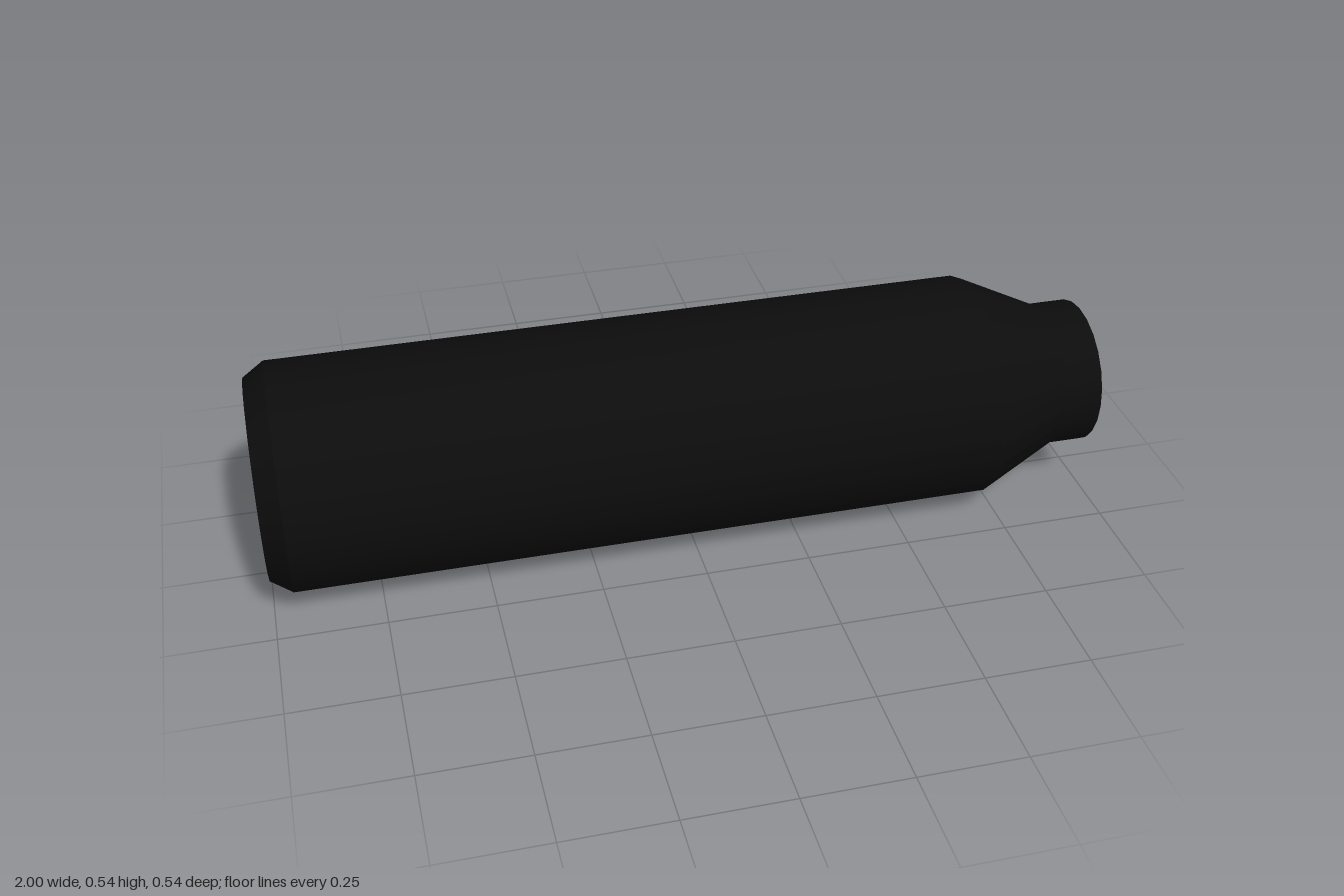
import * as THREE from 'three';
import { toCreasedNormals } from 'three/addons/utils/BufferGeometryUtils.js';

const RADIUS = 0.268;
const SIDES = 24;

export function createModel() {
  const model = new THREE.Group();
  model.name = 'tube';
  const material = new THREE.MeshStandardMaterial({ color: 0x0c0c0c });

  // Turn a closed [radius, x] profile around the long axis
  function turned(name, profile) {
    const points = profile.map(([r, x]) => new THREE.Vector2(r, x));
    points.push(points[0].clone());
    const geometry = new THREE.LatheGeometry(points, SIDES).rotateZ(-Math.PI / 2);
    const mesh = new THREE.Mesh(toCreasedNormals(geometry, 0.5), material);
    mesh.name = name;
    mesh.position.y = RADIUS + 0.002;
    model.add(mesh);
  }

  turned('body', [
    // chamfered rear rim, long barrel, tapered shoulder and neck
    [0.235, -1], [RADIUS, -0.95], [RADIUS, 0.71], [0.175, 0.905], [0.175, 1],
    // bore running back through to the recess in the rear face
    [0.088, 1], [0.088, -0.93], [0.17, -0.93], [0.185, -1],
  ]);

  return model;
}
